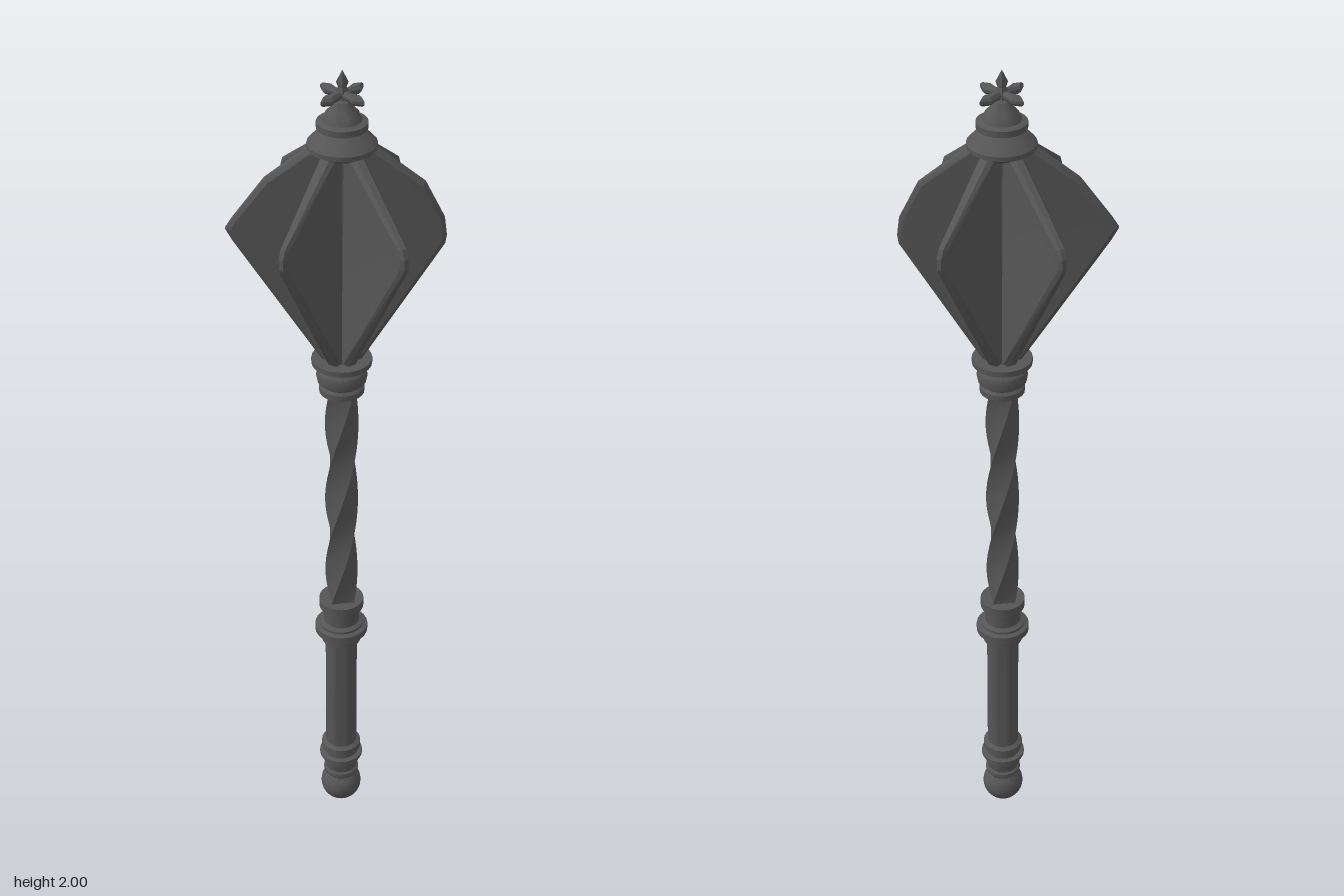
import * as THREE from 'three';
import { toCreasedNormals } from 'three/addons/utils/BufferGeometryUtils.js';

const metal = new THREE.MeshStandardMaterial({ color: 0x555555 });

function part(name, geometry, crease = 0.6) {
  const mesh = new THREE.Mesh(toCreasedNormals(geometry, crease), metal);
  mesh.name = name;
  return mesh;
}

// turned part from [radius, height] pairs, bottom to top
function turned(name, profile, sides = 24) {
  return part(name, new THREE.LatheGeometry(profile.map(([r, y]) => new THREE.Vector2(r, y)), sides));
}

// flange with chamfered rim, thinning from the shaft to the tip
function flange(name, outline, tipHalf) {
  const shape = new THREE.Shape(outline.map(([r, y]) => new THREE.Vector2(r, y)));
  const g = new THREE.ExtrudeGeometry(shape, {
    depth: 1, bevelEnabled: true, bevelThickness: 0.5, bevelSize: 0.009, bevelOffset: -0.009, bevelSegments: 1,
  });
  g.translate(0, 0, -0.5);
  const p = g.attributes.position;
  for (let i = 0; i < p.count; i++) {
    const t = THREE.MathUtils.clamp((p.getX(i) - 0.04) / 0.21, 0, 1);
    p.setZ(i, p.getZ(i) * THREE.MathUtils.lerp(0.018, tipHalf, t));
  }
  return part(name, g, 0.2);
}

export function createModel() {
  const mace = new THREE.Group();
  mace.name = 'mace';

  // ball pommel
  const ball = [];
  for (let i = 0; i <= 12; i++) {
    const a = -Math.PI / 2 + (i / 12) * 2.4;
    ball.push([Math.max(0, 0.05 * Math.cos(a)), 0.05 + 0.05 * Math.sin(a)]);
  }
  mace.add(turned('pommel', ball));

  // grip with its lower and upper collars
  mace.add(turned('grip', [
    [0, 0.08], [0.038, 0.085], [0.043, 0.092], [0.043, 0.102], [0.038, 0.106], [0.041, 0.125],
    [0.046, 0.13], [0.046, 0.139], [0.041, 0.143], [0.053, 0.145], [0.053, 0.154], [0.042, 0.156],
    [0.042, 0.166], [0.048, 0.17], [0.048, 0.186], [0.038, 0.192],
    [0.038, 0.512], [0.047, 0.515], [0.047, 0.527], [0.053, 0.532], [0.053, 0.54], [0.063, 0.543],
    [0.063, 0.56], [0.053, 0.564], [0.053, 0.57], [0.043, 0.575], [0.043, 0.612], [0.053, 0.616],
    [0.053, 0.638], [0, 0.638],
  ]));

  // twisted square shaft
  const bar = new THREE.BoxGeometry(0.054, 0.62, 0.054, 1, 36, 1);
  const p = bar.attributes.position;
  for (let i = 0; i < p.count; i++) {
    const x = p.getX(i), y = p.getY(i), z = p.getZ(i);
    const a = (y / 0.62 + 0.5) * Math.PI * 1.5;
    p.setXYZ(i, x * Math.cos(a) + z * Math.sin(a), y + 0.93, z * Math.cos(a) - x * Math.sin(a));
  }
  mace.add(part('twistedShaft', bar));

  // collar below the head, and the head core
  mace.add(turned('headCollar', [
    [0, 1.22], [0.042, 1.22], [0.051, 1.226], [0.051, 1.24], [0.045, 1.246], [0.055, 1.254],
    [0.058, 1.268], [0.055, 1.282], [0.049, 1.288], [0.049, 1.298], [0.068, 1.3], [0.068, 1.313], [0, 1.313],
  ]));
  mace.add(turned('headCore', [[0.034, 1.3], [0.04, 1.83]], 12));

  // six flanges; the two on the x axis are worn
  const whole = [[0.02, 1.31], [0.042, 1.31], [0.25, 1.64], [0.257, 1.655], [0.257, 1.68], [0.248, 1.7], [0.06, 1.835], [0.02, 1.835]];
  const wornLeft = [[0.02, 1.31], [0.042, 1.31], [0.222, 1.6], [0.225, 1.62], [0.22, 1.66], [0.177, 1.745], [0.06, 1.835], [0.02, 1.835]];
  const wornRight = [[0.02, 1.31], [0.042, 1.31], [0.235, 1.61], [0.25, 1.638], [0.236, 1.66], [0.165, 1.755], [0.06, 1.835], [0.02, 1.835]];
  for (let i = 0; i < 6; i++) {
    const outline = i === 0 ? wornLeft : i === 3 ? wornRight : whole;
    const blade = flange('flange' + (i + 1), outline, i === 0 ? 0.006 : 0.01);
    blade.rotation.y = (i * Math.PI) / 3;
    mace.add(blade);
  }

  // conical cap
  mace.add(turned('cap', [
    [0, 1.815], [0.055, 1.815], [0.075, 1.828], [0.075, 1.838], [0.052, 1.862], [0.043, 1.868], [0.055, 1.872],
    [0.055, 1.886], [0.042, 1.89], [0.036, 1.905], [0.026, 1.915], [0.018, 1.932], [0, 1.94],
  ]));

  // finial: four pointed arms and a spike
  const arm = new THREE.Shape([[0, -0.007], [0.025, -0.009], [0.042, -0.014], [0.064, 0], [0.042, 0.014], [0.025, 0.009], [0, 0.007]]
    .map(([x, y]) => new THREE.Vector2(x, y)));
  for (let i = 0; i < 4; i++) {
    const g = new THREE.ExtrudeGeometry(arm, {
      depth: 0.006, bevelEnabled: true, bevelThickness: 0.006, bevelSize: 0.005, bevelOffset: -0.005, bevelSegments: 1,
    });
    g.rotateX(-Math.PI / 2).translate(0, 1.942, 0).rotateY(Math.PI / 4 + (i * Math.PI) / 2);
    mace.add(part('finialArm' + (i + 1), g, 0.2));
  }
  mace.add(turned('finialSpike', [[0, 1.925], [0.013, 1.935], [0.013, 1.955], [0.009, 1.962], [0.013, 1.974], [0, 2]], 4));

  // the shaft sits slightly off centre because the worn flanges differ in length
  mace.children.forEach((m) => { m.position.x += 0.0125; });
  return mace;
}
